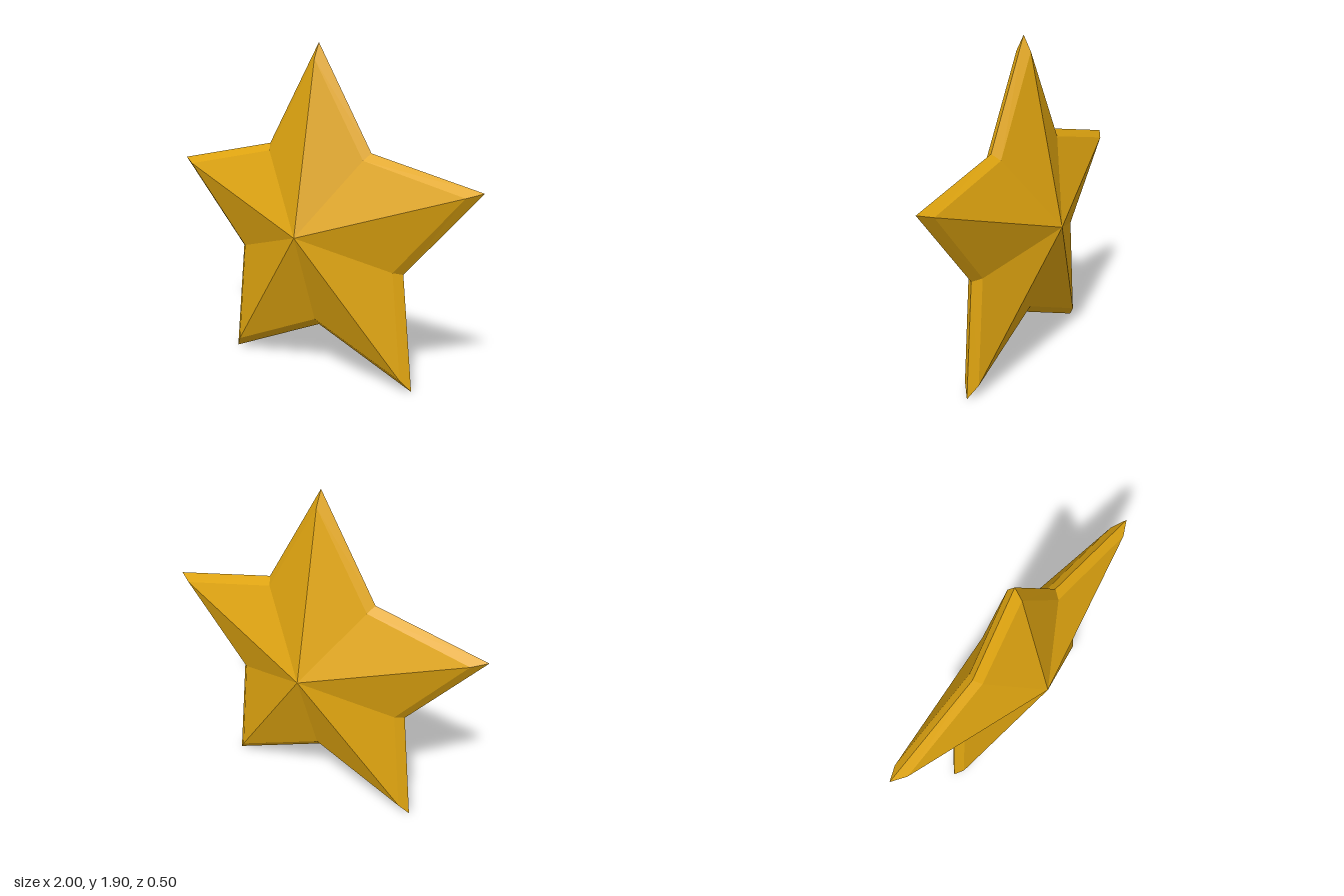
import * as THREE from 'three';

const CENTRE_Y = 0.851;
const RIM = { tip: 1.0515, notch: 0.58, z: 0 };         // widest outline
const SHOULDER = { tip: 0.965, notch: 0.535, z: 0.045 }; // inner edge of the bevel
const APEX_Z = 0.25;

// Ten outline points, anticlockwise from the top tip
function ring({ tip, notch, z }) {
  return Array.from({ length: 10 }, (_, i) => {
    const a = Math.PI / 2 + (i * Math.PI) / 5;
    const r = i % 2 ? notch : tip;
    return new THREE.Vector3(r * Math.cos(a), r * Math.sin(a), z);
  });
}

// Unshared corners keep every facet flat
function facets(triangles) {
  const geometry = new THREE.BufferGeometry().setFromPoints(triangles.flat());
  geometry.computeVertexNormals();
  return geometry;
}

export function createModel() {
  const gold = new THREE.MeshStandardMaterial({ color: 0xe0a510 });
  gold.name = 'gold';

  const rim = ring(RIM);
  const shoulder = ring(SHOULDER);
  const apex = new THREE.Vector3(0, 0, APEX_Z);
  const faceTriangles = [];
  const bevelTriangles = [];
  for (let i = 0; i < 10; i++) {
    const j = (i + 1) % 10;
    faceTriangles.push([apex, shoulder[i], shoulder[j]]);
    bevelTriangles.push([rim[i], rim[j], shoulder[j]], [rim[i], shoulder[j], shoulder[i]]);
  }
  const faceGeometry = facets(faceTriangles);
  const bevelGeometry = facets(bevelTriangles);

  // Two identical halves, the back one turned about the vertical axis
  const star = new THREE.Group();
  star.name = 'star';
  for (const side of ['front', 'back']) {
    const half = new THREE.Group();
    half.name = `${side}Half`;
    const face = new THREE.Mesh(faceGeometry, gold);
    face.name = `${side}Face`;
    const bevel = new THREE.Mesh(bevelGeometry, gold);
    bevel.name = `${side}Bevel`;
    half.add(face, bevel);
    if (side === 'back') half.rotation.y = Math.PI;
    star.add(half);
  }
  star.position.y = CENTRE_Y;

  const model = new THREE.Group();
  model.name = 'starModel';
  model.add(star);
  return model;
}
